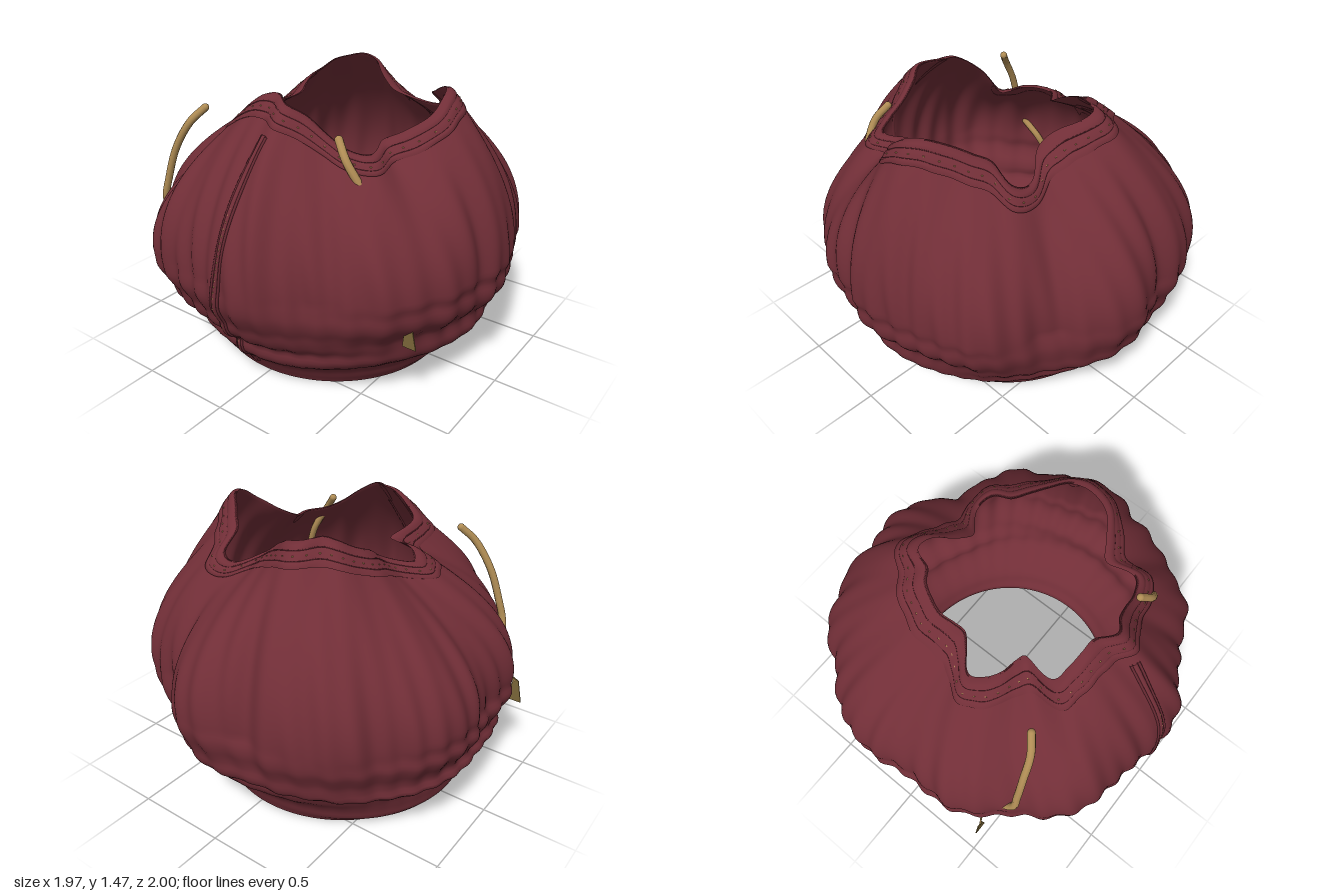
import * as THREE from 'three';

const material = (name, color, side = THREE.FrontSide) => {
  const m = new THREE.MeshStandardMaterial({ color, side });
  m.name = name;
  return m;
};

// Values every 10 degrees around the body, starting at the front and turning to +x
const RIM_RADIUS = [.48, .55, .53, .55, .60, .62, .51, .55, .62, .62, .59, .54, .51, .50, .57, .53, .39, .37,
  .40, .47, .49, .42, .42, .40, .38, .34, .32, .37, .46, .45, .41, .35, .34, .49, .49, .48];
const RIM_HEIGHT = [1.47, 1.45, 1.40, 1.33, 1.27, 1.25, 1.27, 1.31, 1.38, 1.45, 1.47, 1.44, 1.40, 1.36, 1.28, 1.26, 1.32, 1.37,
  1.41, 1.45, 1.47, 1.47, 1.45, 1.41, 1.38, 1.35, 1.31, 1.28, 1.26, 1.27, 1.28, 1.28, 1.29, 1.34, 1.41, 1.46];
const BELLY = [.97, .99, .94, .92, .95, .99, .97, .98, .95, .98, .96, .95, .97, .99, .94, .88, .95, 1.0,
  .99, .94, 1.0, 1.01, 1.03, .99, 1.02, 1.02, .99, .93, .95, .99, .97, .95, 1.0, 1.01, .97, .95];
// Radius every 0.05 of height from hem to belly: front, +x side, back, -x side
const FOLDS = [
  [.62, .65, .68, .72, .78, .80, .805, .87, .905, .92, .95, .975, .985, .985],
  [.645, .68, .70, .745, .80, .86, .885, .88, .885, .93, .965, .975, .97, .985],
  [.64, .66, .68, .72, .78, .81, .82, .905, .94, .945, .96, .98, .99, .985],
  [.655, .73, .745, .755, .76, .79, .87, .93, .91, .93, .965, .985, .975, .985],
];
const BELLY_Y = 0.65;
const TAU = Math.PI * 2;

// Smooth interpolation through evenly spaced values
function smooth(list, x, wrap) {
  const n = list.length, i = Math.floor(x), f = x - i;
  const at = (k) => list[wrap ? ((k % n) + n) % n : Math.min(n - 1, Math.max(0, k))];
  const [a, b, c, d] = [at(i - 1), at(i), at(i + 1), at(i + 2)];
  return b + 0.5 * f * (c - a + f * (2 * a - 5 * b + 4 * c - d + f * (3 * (b - c) + d - a)));
}
const around = (list, angle) => smooth(list, (angle / TAU) * list.length, true);

// Point on the cloth: v runs from the hem (0) over the belly (0.5) to the rim (1)
function cloth(angle, v, offset = 0) {
  const belly = around(BELLY, angle);
  let r, y, shift = 0;
  if (v < 0.5) {
    const t = v * 2;
    y = BELLY_Y * t;
    const wave = 0.01 * Math.sin(Math.PI * t) * Math.sin(5 * angle);
    r = around(FOLDS.map((side) => smooth(side, (y + wave) / 0.05, false)), angle);
    r += (belly - 0.985) * t * t;
    shift = -0.045 * (1 - t);
  } else {
    const s = v * 2 - 1;
    y = BELLY_Y + (around(RIM_HEIGHT, angle) - BELLY_Y) * s;
    r = belly + (around(RIM_RADIUS, angle) - belly) * Math.pow(s, 2.05);
    r += 0.01 * Math.sin(Math.PI * s) * Math.sin(25 * angle + 4 * s + 1.5 * Math.sin(4 * angle));
  }
  // Fine pleats, strongest over the belly
  const pleat = Math.pow(Math.sin(Math.PI * v), 2);
  r += 0.009 * pleat * Math.sin(42 * angle + 6 * v + 2 * Math.sin(3 * angle)) + offset;
  return new THREE.Vector3(r * Math.sin(angle) + shift, y, r * Math.cos(angle));
}

// Closed ring of cloth; each row is [v, offset]
function ring(rows, columns) {
  const positions = [], index = [];
  rows.forEach(([v, offset], j) => {
    for (let i = 0; i < columns; i++) {
      const p = cloth((i / columns) * TAU, v, offset);
      positions.push(p.x, p.y, p.z);
      if (j === rows.length - 1) continue;
      const a = j * columns + i, b = j * columns + ((i + 1) % columns);
      index.push(a, b, b + columns, a, b + columns, a + columns);
    }
  });
  const g = new THREE.BufferGeometry();
  g.setAttribute('position', new THREE.Float32BufferAttribute(positions, 3));
  g.setIndex(index);
  g.computeVertexNormals();
  return g;
}

// Cloth point seen at a given x and height on the front
function frontPoint(x, y, offset) {
  let angle = Math.asin(x / 0.9), p;
  for (let k = 0; k < 5; k++) {
    const v = y < BELLY_Y ? y / (2 * BELLY_Y)
      : 0.5 + 0.5 * (y - BELLY_Y) / (around(RIM_HEIGHT, angle) - BELLY_Y);
    p = cloth(angle, v, offset);
    angle += (x - p.x) / p.z;
  }
  return p;
}

export function createModel() {
  const model = new THREE.Group();
  const red = material('wine red cloth', 0x712e37, THREE.DoubleSide);
  const trim = material('dark red trim', 0x642831, THREE.DoubleSide);
  const gold = material('antique gold', 0xb08d55);
  const olive = material('dull gold', 0x7a6638, THREE.DoubleSide);
  const add = (name, geometry, mat, parent = model) => {
    const mesh = new THREE.Mesh(geometry, mat);
    mesh.name = name;
    parent.add(mesh);
    return mesh;
  };
  const tube = (points, radius, segments) =>
    new THREE.TubeGeometry(new THREE.CatmullRomCurve3(points), segments, radius, 10);

  // Gathered body with an outer and an inner wall
  const rows = [];
  for (let j = 0; j <= 64; j++) rows.push([j / 64, 0]);
  for (let j = 64; j >= 0; j--) rows.push([j / 64, -0.014]);
  rows.push([0, 0]);
  add('gatheredBody', ring(rows, 360), red);

  // Raised band with two grooves along the rim
  const band = [[.885, -.005], [.89, .01], [.915, .014], [.921, .004], [.927, .014], [.96, .014],
    [.966, .004], [.972, .014], [.99, .014], [1, .006], [1, -.018]];
  add('rimBand', ring(band.map(([s, o]) => [0.5 + s / 2, o]), 360), red);
  for (const s of [.921, .966]) {
    const points = [];
    for (let i = 0; i < 180; i++) points.push(cloth((i / 180) * TAU, 0.5 + s / 2, 0.006));
    add('rimGroove', new THREE.TubeGeometry(new THREE.CatmullRomCurve3(points, true), 288, 0.004, 5, true), trim);
  }

  // Small stitches on the band
  const stitch = new THREE.BoxGeometry(0.004, 0.004, 0.009);
  for (let i = 0; i < 60; i++) {
    const angle = (i / 60) * TAU;
    const mesh = add('rimStitch', stitch, gold);
    mesh.position.copy(cloth(angle, 0.972, 0.015));
    mesh.lookAt(cloth(angle + 0.02, 0.972, 0.015));
  }

  // Front seam: a raised cord between two dark welts
  const seamX = (y) => -0.065 + 0.1 * y + 0.004 * Math.sin(y * 9);
  const seamLine = (dx, offset) => {
    const points = [];
    for (let i = 0; i <= 40; i++) {
      const y = 0.07 + (1.26 * i) / 40;
      points.push(frontPoint(seamX(y) + dx, y, offset));
    }
    return points;
  };
  add('seamCord', tube(seamLine(0, -0.002), 0.014, 80), red);
  for (const dx of [-0.018, 0.018]) add('seamWelt', tube(seamLine(dx, 0.002), 0.007, 80), trim);
  for (let i = 0; i < 40; i++) {
    const y = 0.09 + i * 0.031;
    const mesh = add('seamStitch', stitch, gold);
    mesh.position.copy(frontPoint(seamX(y), y, 0.011));
    mesh.lookAt(frontPoint(seamX(y + 0.01), y + 0.01, 0.011));
  }

  // Drawcords that pass through the cloth, with flared end tags, mirrored about a line beside the centre
  for (const side of [-1, 1]) {
    const cord = new THREE.Group();
    cord.name = side < 0 ? 'rightDrawcord' : 'leftDrawcord';
    model.add(cord);
    const at = (x, y, z) => new THREE.Vector3(side < 0 ? x : -0.13 - x, y, z);
    const inset = side < 0 ? 0 : 0.06;
    const path = [at(-.485, 1.325, .49), at(-.55, 1.25, .54 - inset / 4), at(-.64, 1.10, .57 - inset),
      at(-.70, .93, .585 - inset), at(-.74, .79, .585 - inset), at(-.78, .66, .475), at(-.82, .56, .44)];
    add('cord', tube(path, 0.02, 48), gold, cord);
    for (const p of [path[0], path[6]]) add('cordEnd', new THREE.SphereGeometry(0.02, 12, 8), gold, cord).position.copy(p);
    const tagZ = side < 0 ? 0.49 : 0.51;
    add('string', tube([path[6], at(-.86, .545, .47), at(-.895, .52, tagZ)], 0.005, 12), gold, cord);
    const outline = [[-.94, .395], [-.868, .395], [-.88, .54], [-.912, .525]];
    const shape = new THREE.Shape(outline.map(([x, y]) => new THREE.Vector2(at(x, y, 0).x, y)));
    const tag = add('endTag', new THREE.ExtrudeGeometry(shape, { depth: 0.006, bevelEnabled: false }), olive, cord);
    tag.position.z = tagZ - 0.003;
  }
  return model;
}
